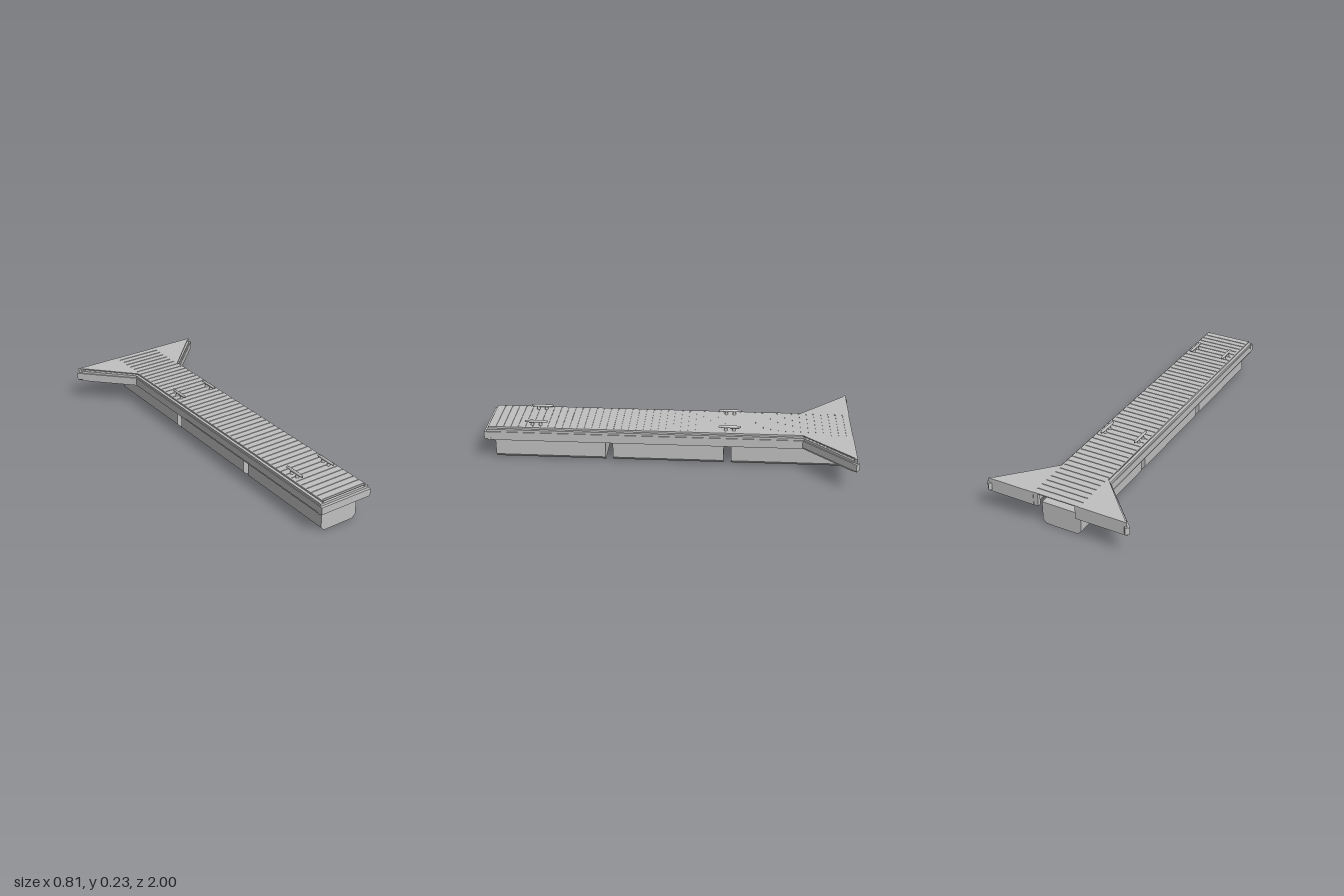
import * as THREE from 'three';

export function createModel() {
  const model = new THREE.Group();
  model.name = 'floatingDock';
  const grey = new THREE.MeshStandardMaterial({ color: 0xc0c0c0 });
  grey.name = 'dock grey';

  const add = (name, geometry, parent = model) => {
    const mesh = new THREE.Mesh(geometry, grey);
    mesh.name = name;
    parent.add(mesh);
    return mesh;
  };
  // Box given by its limits on each axis
  const box = (name, x0, x1, y0, y1, z0, z1) =>
    add(name, new THREE.BoxGeometry(x1 - x0, y1 - y0, z1 - z0))
      .position.set((x0 + x1) / 2, (y0 + y1) / 2, (z0 + z1) / 2);
  const outline = (points) => new THREE.Shape(points.map((p) => new THREE.Vector2(...p)));
  // Flat slab from a plan outline of [x, z] points
  const slab = (name, points, y0, y1) => {
    const shape = outline(points.map(([x, z]) => [x, -z]));
    const g = new THREE.ExtrudeGeometry(shape, { depth: y1 - y0, bevelEnabled: false });
    g.rotateX(-Math.PI / 2);
    g.translate(0, y0, 0);
    add(name, g);
  };
  // Length of a constant section along z
  const sweep = (name, points, z0, z1) => {
    const g = new THREE.ExtrudeGeometry(outline(points), { depth: z1 - z0, bevelEnabled: false });
    g.translate(0, 0, z0);
    add(name, g);
  };

  const deckY = 0.2, beamY = 0.188, back = -0.985, kink = -0.72, frontZ = 0.98;

  // Thin deck sheet with planks separated by narrow grooves
  box('deckBase', -0.132, 0.132, 0.195, 0.197, back, frontZ);
  let z = back;
  for (let i = 0; z < 0.96; i++) {
    const end = Math.min(-0.95 + i * 0.04, frontZ);
    box('plank', -0.13, 0.13, 0.197, deckY, z, end);
    z = end + 0.006;
  }

  for (const s of [1, -1]) {
    const plan = (pts) => pts.map(([x, pz]) => [s * x, pz]);
    // Deck margin and flared landing wing
    slab('deckMargin', plan([[0.13, frontZ], [0.136, frontZ], [0.136, kink],
      [0.385, back], [0.13, back]]), 0.195, deckY);
    slab('flareBody', plan([[0.13, kink], [0.375, back], [0.13, back]]), 0.125, beamY);
    // Side beam following the side and the flare
    slab('edgeBeam', plan([[0.13, frontZ], [0.148, frontZ], [0.148, kink - 0.005],
      [0.38, -0.965], [0.37, -0.975], [0.13, kink]]), 0.125, beamY);
    // Rubbing strip along the side and the flare
    slab('rubbingStrip', plan([[0.145, frontZ], [0.152, frontZ], [0.152, kink],
      [0.405, -0.982], [0.387, -1], [0.373, back], [0.145, kink - 0.005]]), 0.135, 0.175);
    // Rear board, inner side wall and rear post
    slab('rearBoard', plan([[0.13, back - 0.002], [0.392, back - 0.002],
      [0.38, -0.972], [0.13, -0.972]]), 0.125, deckY);
    slab('sideWall', plan([[0.128, back], [0.133, back], [0.133, frontZ], [0.128, frontZ]]), 0.125, 0.198);
    slab('rearPost', plan([[0.105, back], [0.128, back], [0.128, -0.965], [0.105, -0.965]]), 0.125, 0.195);
  }

  // Front board and bumper
  box('frontBoard', -0.15, 0.15, 0.125, beamY, 0.97, 0.985);
  box('frontBumper', -0.153, 0.153, 0.135, 0.175, 0.965, 1);

  // Floats: hollow shells, open below, with chamfered lower edges and closed ends
  const outer = [[0.09, 0], [0.11, 0.02], [0.11, 0.125], [-0.11, 0.125], [-0.11, 0.02], [-0.09, 0]];
  const inner = [[-0.086, 0], [-0.106, 0.02], [-0.106, 0.121], [0.106, 0.121], [0.106, 0.02], [0.086, 0]];
  const wall = 0.004;
  for (const [z0, z1] of [[-0.945, -0.34], [-0.3, 0.305], [0.345, 0.95]]) {
    sweep('floatShell', [...outer, ...inner], z0 + wall, z1 - wall);
    sweep('floatEnd', outer, z0, z0 + wall);
    sweep('floatEnd', outer, z1 - wall, z1);
  }

  // Mooring cleats: two tapered feet under a horn bar
  for (const cz of [0.72, -0.33]) {
    for (const cx of [0.1, -0.1]) {
      const cleat = new THREE.Group();
      cleat.name = 'cleat';
      cleat.position.set(cx, deckY, cz);
      for (const dz of [-0.022, 0.022]) {
        const foot = add('cleatFoot', new THREE.CylinderGeometry(0.006, 0.01, 0.018, 8), cleat);
        foot.position.set(0, 0.009, dz);
      }
      const horn = new THREE.LatheGeometry([[0, -0.06], [0.006, -0.06], [0.008, -0.025],
        [0.008, 0.025], [0.006, 0.06], [0, 0.06]].map((p) => new THREE.Vector2(...p)), 8);
      horn.rotateX(Math.PI / 2);
      add('cleatHorn', horn, cleat).position.y = 0.021;
      model.add(cleat);
    }
  }
  return model;
}
